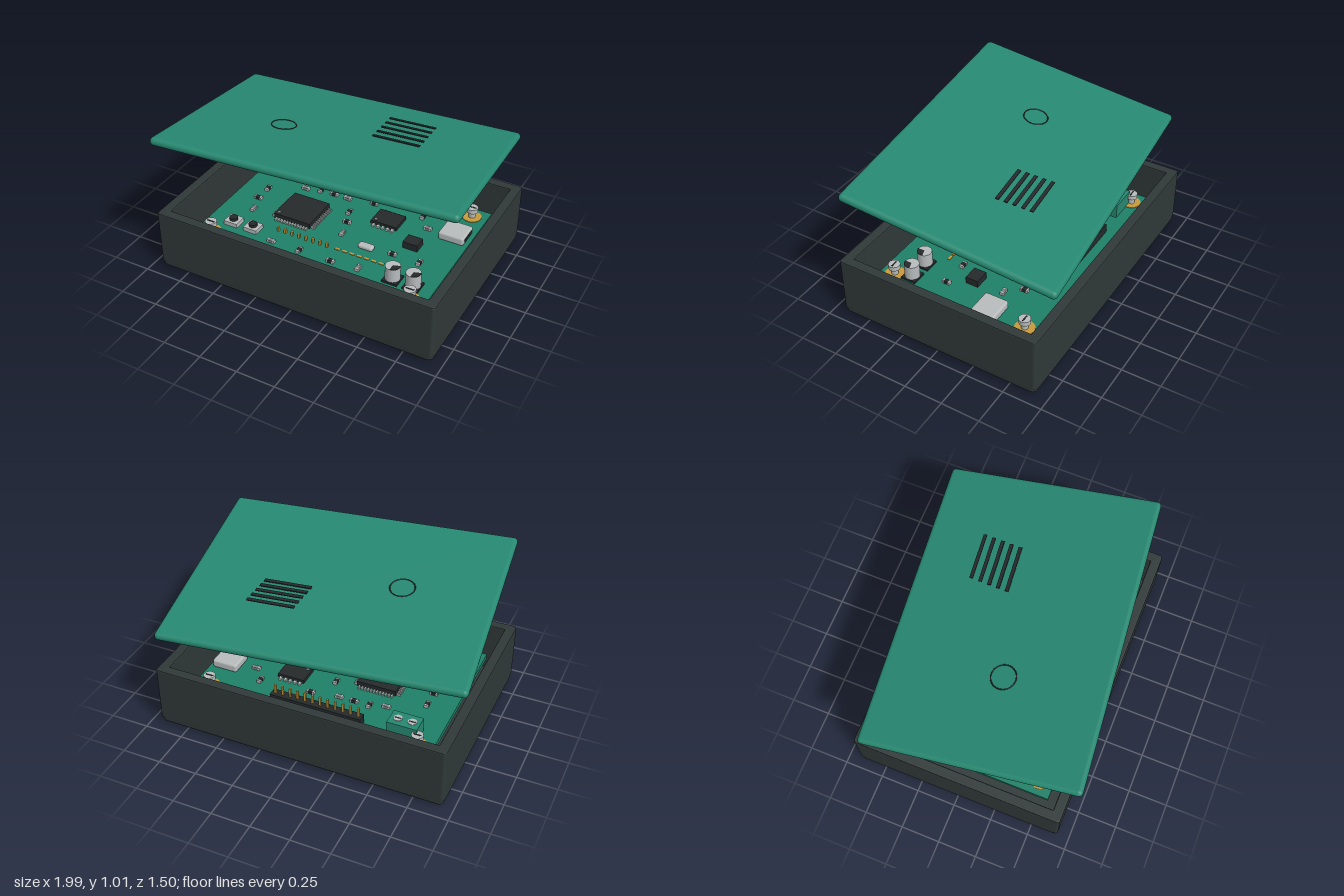
import * as THREE from 'three';
import { RoundedBoxGeometry } from 'three/addons/geometries/RoundedBoxGeometry.js';

const mat = (name, color) => {
  const m = new THREE.MeshStandardMaterial({ color });
  m.name = name;
  return m;
};

export function createModel() {
  const M = {
    shell: mat('charcoal shell', 0x303838),
    lid: mat('teal lid', 0x268871),
    board: mat('board green', 0x1f8068),
    chip: mat('chip black', 0x25292b),
    silver: mat('silver metal', 0xb8bcbc),
    gold: mat('gold contacts', 0xc79a3c),
    grey: mat('component grey', 0x7d8484),
  };
  const root = new THREE.Group();
  root.name = 'electronicsEnclosure';

  const group = (name, x = 0, y = 0, z = 0, parent = root) => {
    const g = new THREE.Group();
    g.name = name;
    g.position.set(x, y, z);
    parent.add(g);
    return g;
  };
  const add = (parent, name, geo, m, x, y, z) => {
    const mesh = new THREE.Mesh(geo, m);
    mesh.name = name;
    mesh.position.set(x, y, z);
    parent.add(mesh);
    return mesh;
  };
  // Boxes and cylinders are placed by the height of their underside
  const box = (p, name, m, w, h, d, x, y, z) =>
    add(p, name, new THREE.BoxGeometry(w, h, d), m, x, y + h / 2, z);
  const cyl = (p, name, m, r, h, x, y, z, n = 24) =>
    add(p, name, new THREE.CylinderGeometry(r, r, h, n), m, x, y + h / 2, z);

  // Open case: rounded floor and a hollow wall
  const outline = (C, w, d, r) => {
    const s = new C(), x = w / 2, y = d / 2;
    s.moveTo(-x + r, -y);
    s.lineTo(x - r, -y);
    s.absarc(x - r, -y + r, r, -Math.PI / 2, 0);
    s.absarc(x - r, y - r, r, 0, Math.PI / 2);
    s.absarc(-x + r, y - r, r, Math.PI / 2, Math.PI);
    s.absarc(-x + r, -y + r, r, Math.PI, Math.PI * 1.5);
    return s;
  };
  const shell = group('case');
  add(shell, 'caseFloor', new RoundedBoxGeometry(1.874, 0.08, 1.346, 4, 0.035), M.shell, 0, 0.04, 0);
  const wall = outline(THREE.Shape, 1.86, 1.332, 0.012);
  wall.holes.push(outline(THREE.Path, 1.764, 1.236, 0.01));
  const wallGeo = new THREE.ExtrudeGeometry(wall, {
    depth: 0.352, bevelEnabled: true, bevelThickness: 0.008, bevelSize: 0.008, bevelSegments: 2, curveSegments: 5,
  });
  wallGeo.rotateX(-Math.PI / 2);
  add(shell, 'caseWalls', wallGeo, M.shell, 0, 0.05, 0);

  // Lifted, tilted lid with vents and a button outline
  const tilt = [-0.177, 0.1, 0];
  const lid = group('lid', 0, 0.858, 0);
  lid.rotation.set(...tilt);
  add(lid, 'lidPanel', new RoundedBoxGeometry(1.874, 0.053, 1.35, 4, 0.026), M.lid, 0, 0, 0);
  for (let i = 0; i < 5; i++) {
    const slot = add(root, 'ventSlot', new THREE.BoxGeometry(0.3, 0.006, 0.022), M.chip, 0.3, 0.872, -0.343 + i * 0.057);
    slot.rotation.set(...tilt);
  }
  const ring = group('buttonRing', -0.36, 0.9, 0.087);
  ring.rotation.set(...tilt);
  add(ring, 'ring', new THREE.TorusGeometry(0.076, 0.004, 6, 48).rotateX(Math.PI / 2), M.chip, 0, 0, 0);

  // Circuit board, with heights below measured from its top
  const board = group('circuitBoard', 0, 0.225, 0);
  box(board, 'boardPlate', M.board, 1.58, 0.035, 1.1, 0, -0.035, 0);

  // Corner standoffs, pads and screws
  for (const x of [-0.69, 0.69]) for (const z of [-0.46, 0.46]) {
    cyl(board, 'standoff', M.shell, 0.055, 0.145, x, -0.18, z);
    cyl(board, 'screwPad', M.gold, 0.062, 0.004, x, 0, z);
    cyl(board, 'screwShank', M.silver, 0.022, 0.05, x, 0, z, 16);
    cyl(board, 'screwHead', M.silver, 0.037, 0.03, x, 0.045, z);
    box(board, 'screwSlot', M.chip, 0.05, 0.003, 0.009, x, 0.074, z);
  }

  // Chips with legs along chosen sides
  const chip = (name, x, z, w, d, h, n, fourSided) => {
    const g = group(name, x, 0, z, board);
    box(g, 'chipBody', M.chip, w, h - 0.006, d, 0, 0.006, 0);
    cyl(g, 'pinOneMark', M.grey, 0.009, 0.002, -w / 2 + 0.025, h, d / 2 - 0.025, 12);
    for (const s of [-1, 1]) for (let i = 0; i < n; i++) {
      const t = (i + 0.5) / n - 0.5;
      box(g, 'leg', M.silver, w / n * 0.45, 0.014, 0.026, t * w * 0.92, 0, s * (d / 2 + 0.011));
      if (fourSided) box(g, 'leg', M.silver, 0.026, 0.014, d / n * 0.45, s * (w / 2 + 0.011), 0, t * d * 0.92);
    }
  };
  chip('processor', -0.283, 0.028, 0.26, 0.26, 0.04, 12, true);
  chip('memoryChip', 0.246, -0.152, 0.18, 0.14, 0.03, 5, false);
  box(board, 'inductor', M.chip, 0.1, 0.045, 0.085, 0.49, 0, 0.0);

  // Pin header at the back
  const header = group('pinHeader', -0.03, 0, -0.43, board);
  box(header, 'headerBase', M.chip, 0.6, 0.06, 0.06, 0, 0, 0);
  for (let i = 0; i < 12; i++) box(header, 'headerPin', M.gold, 0.013, 0.06, 0.013, -0.275 + i * 0.05, 0.06, 0);

  // Gold contacts towards the front
  for (let i = 0; i < 8; i++) box(board, 'frontPin', M.gold, 0.014, 0.03, 0.016, -0.32 + i * 0.05, 0, 0.26);
  for (let i = 0; i < 7; i++) box(board, 'frontPad', M.gold, 0.034, 0.004, 0.016, 0.1 + i * 0.05, 0, 0.25);

  // Screw terminal with two openings
  const terminal = group('screwTerminal', -0.586, 0, -0.39, board);
  box(terminal, 'terminalBody', M.lid, 0.19, 0.095, 0.12, 0, 0, 0);
  for (const x of [-0.045, 0.045]) {
    box(terminal, 'wireOpening', M.chip, 0.055, 0.04, 0.006, x, 0.018, 0.06);
    cyl(terminal, 'terminalScrew', M.silver, 0.028, 0.004, x, 0.094, 0, 16);
    box(terminal, 'terminalSlot', M.chip, 0.04, 0.002, 0.007, x, 0.098, 0);
  }

  // Metal connector at the right edge
  const socket = group('connector', 0.68, 0, -0.217, board);
  add(socket, 'connectorShell', new RoundedBoxGeometry(0.17, 0.056, 0.16, 3, 0.014), M.silver, 0, 0.03, 0);
  box(socket, 'connectorMouth', M.chip, 0.004, 0.026, 0.11, 0.085, 0.016, 0);

  // Push buttons
  for (const x of [-0.612, -0.468]) {
    box(board, 'buttonBody', M.silver, 0.095, 0.028, 0.085, x, 0, 0.322);
    cyl(board, 'buttonCap', M.chip, 0.027, 0.018, x, 0.028, 0.322);
  }

  // Can capacitors with a dark polarity mark
  for (const x of [0.525, 0.66]) {
    box(board, 'capacitorFoot', M.chip, 0.1, 0.014, 0.1, x, 0, 0.35);
    cyl(board, 'capacitorCan', M.silver, 0.047, 0.092, x, 0.014, 0.35, 28);
    add(board, 'polarityMark', new THREE.CylinderGeometry(0.046, 0.046, 0.003, 14, 1, false, 0, Math.PI * 0.6),
      M.chip, x, 0.107, 0.35);
  }

  // Crystal
  add(board, 'crystal', new RoundedBoxGeometry(0.1, 0.032, 0.05, 3, 0.014), M.silver, 0.25, 0.017, 0.16);

  // Small surface components: x, z, quarter turn
  const smalls = [
    [-0.4, -0.22, 0], [-0.3, -0.25, 1], [-0.2, -0.25, 0], [-0.1, -0.25, 0], [-0.62, -0.1, 1], [-0.62, 0.02, 0],
    [-0.58, 0.14, 1], [-0.02, -0.12, 1], [0.02, -0.02, 0], [0.05, 0.1, 1], [0.08, -0.28, 0], [0.42, -0.3, 1],
    [0.5, -0.2, 0], [0.42, 0.14, 0], [0.6, 0.14, 1], [-0.3, 0.38, 0], [-0.1, 0.38, 1], [0.12, 0.38, 0], [0.3, 0.36, 1],
  ];
  smalls.forEach(([x, z, turn], i) => {
    const g = group('surfaceComponent', x, 0, z, board);
    g.rotation.y = turn * Math.PI / 2;
    box(g, 'componentBody', i % 3 ? M.chip : M.grey, 0.03, 0.018, 0.026, 0, 0, 0);
    for (const s of [-1, 1]) box(g, 'componentEnd', M.silver, 0.011, 0.019, 0.027, s * 0.02, 0, 0);
  });

  return root;
}
